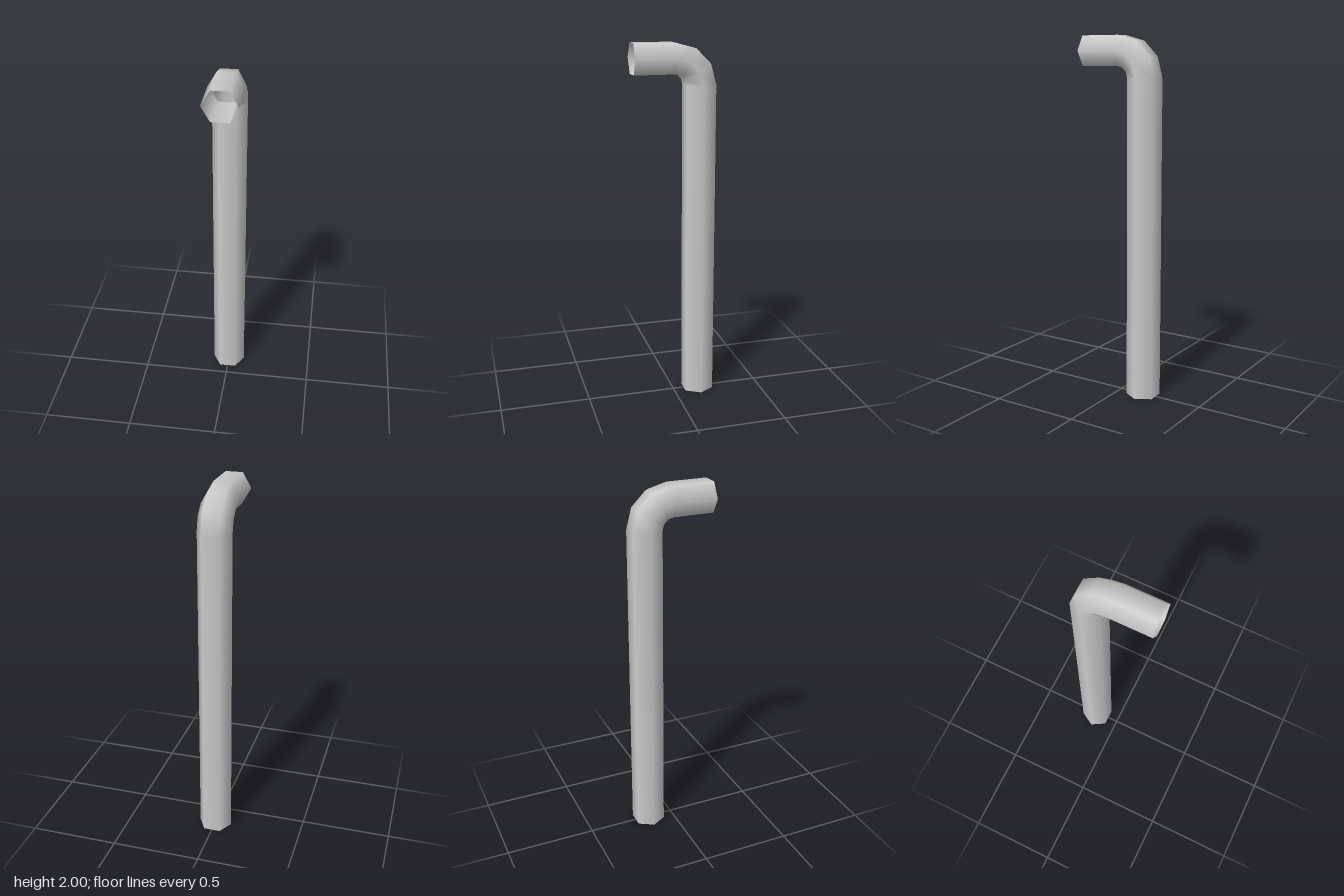
import * as THREE from 'three';

const SIDES = 6;
const TUBE_R = 0.094;   // hexagon corner radius
const BEND_R = 0.1436;  // centre-line radius of the elbow
const BEND_Y = 1.775;   // elbow pivot height, at z = 0
const BEND_STEPS = 3;

// Open hexagonal pipe swept through a list of stations {y, z, angle}
function sweepPipe(stations) {
  const positions = [], normals = [], index = [];
  for (const { y, z, angle } of stations) {
    for (let i = 0; i < SIDES; i++) {
      const a = (i / SIDES) * Math.PI * 2;
      const nx = Math.cos(a);
      const ny = Math.sin(a) * Math.sin(angle);
      const nz = -Math.sin(a) * Math.cos(angle);
      positions.push(nx * TUBE_R, y + ny * TUBE_R, z + nz * TUBE_R);
      normals.push(nx, ny, nz);
    }
  }
  for (let j = 0; j < stations.length - 1; j++) {
    for (let i = 0; i < SIDES; i++) {
      const a = j * SIDES + i;
      const b = j * SIDES + (i + 1) % SIDES;
      index.push(a, b, a + SIDES, b, b + SIDES, a + SIDES);
    }
  }
  const geometry = new THREE.BufferGeometry();
  geometry.setAttribute('position', new THREE.Float32BufferAttribute(positions, 3));
  geometry.setAttribute('normal', new THREE.Float32BufferAttribute(normals, 3));
  geometry.setIndex(index);
  return geometry;
}

export function createModel() {
  const group = new THREE.Group();
  group.name = 'bentPipe';

  // Upright shaft, faceted elbow, then a short spout towards the front
  const stations = [{ y: 0, z: -BEND_R, angle: 0 }];
  for (let s = 0; s <= BEND_STEPS; s++) {
    const angle = (s / BEND_STEPS) * Math.PI / 2;
    stations.push({
      y: BEND_Y + BEND_R * Math.sin(angle),
      z: -BEND_R * Math.cos(angle),
      angle,
    });
  }
  stations.push({ y: BEND_Y + BEND_R, z: 0.225, angle: Math.PI / 2 });

  const pipe = new THREE.Mesh(
    sweepPipe(stations),
    new THREE.MeshStandardMaterial({ color: 0xcccccc, side: THREE.DoubleSide })
  );
  pipe.name = 'pipe';
  group.add(pipe);
  return group;
}
